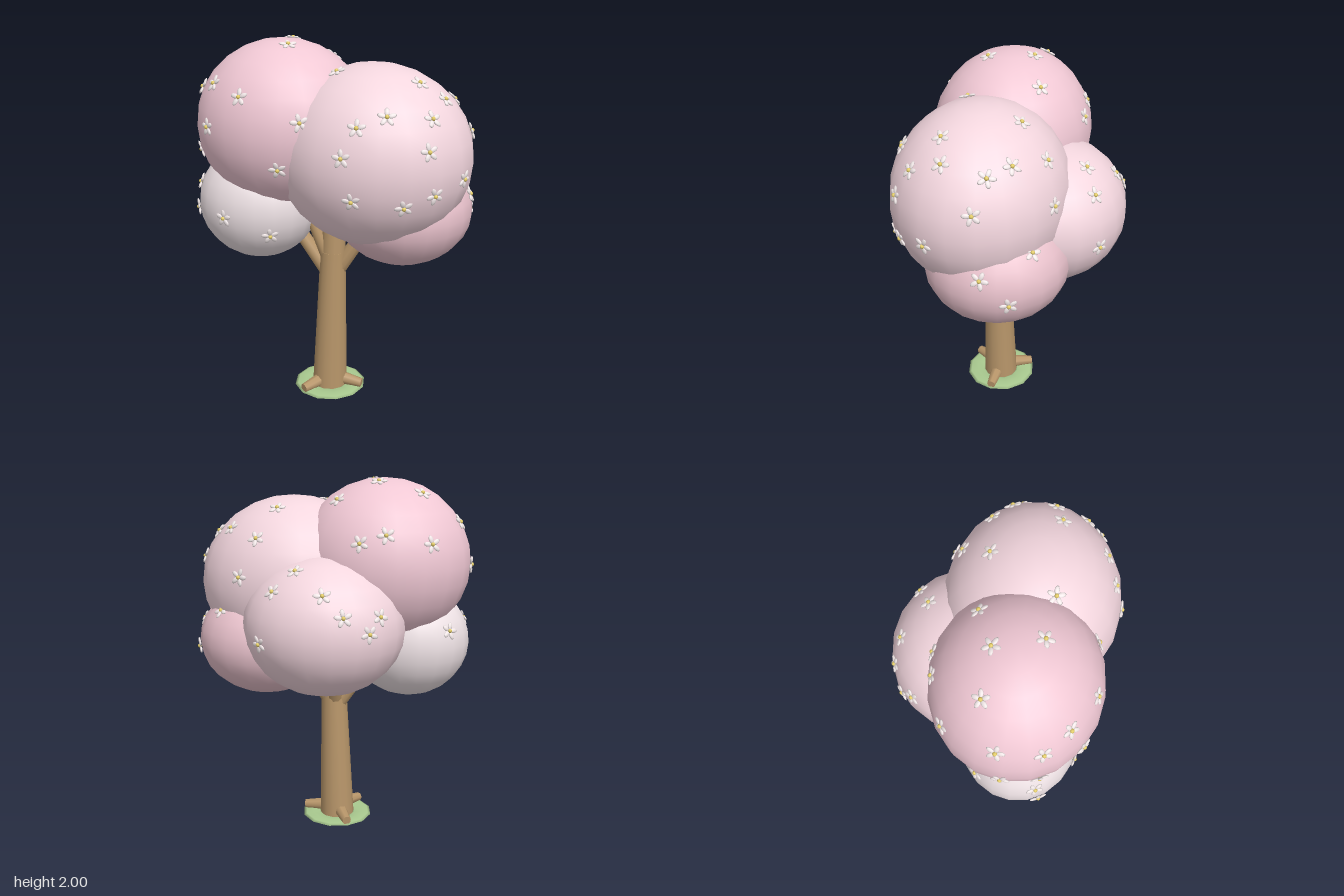
import * as THREE from 'three';

const mat = (color, extra = {}) => new THREE.MeshStandardMaterial({ color, ...extra });
const bark = mat(0xb8966a);
const grass = mat(0xa9c98f);
const petalMat = mat(0xf0e6e6);
const pollenMat = mat(0xe6cf6a);
const UP = new THREE.Vector3(0, 1, 0);
const OUT = new THREE.Vector3(0, 0, 1);

function mesh(name, geometry, material) {
  const m = new THREE.Mesh(geometry, material);
  m.name = name;
  return m;
}

// Tapered limb between two points
function limb(name, from, to, r0, r1, sides = 10) {
  const a = new THREE.Vector3(...from), b = new THREE.Vector3(...to);
  const dir = b.clone().sub(a);
  const m = mesh(name, new THREE.CylinderGeometry(r1, r0, dir.length(), sides), bark);
  m.position.copy(a).add(b).multiplyScalar(0.5);
  m.quaternion.setFromUnitVectors(UP, dir.normalize());
  return m;
}

const petalGeo = new THREE.SphereGeometry(1, 8, 6);
const pollenGeo = new THREE.SphereGeometry(0.011, 8, 6);

// Five-petalled blossom facing +z
function blossom() {
  const g = new THREE.Group();
  g.name = 'blossom';
  for (let i = 0; i < 5; i++) {
    const a = (i / 5) * Math.PI * 2 + Math.PI / 2;
    const p = mesh('petal', petalGeo, petalMat);
    p.scale.set(0.022, 0.0125, 0.007);
    p.position.set(Math.cos(a) * 0.027, Math.sin(a) * 0.027, 0.006);
    p.rotation.z = a;
    g.add(p);
  }
  const c = mesh('blossomCentre', pollenGeo, pollenMat);
  c.position.z = 0.01;
  g.add(c);
  return g;
}

// Foliage clumps: centre, radii, colour and blossoms grouped by the side
// they sit on (front/back: x,y  top: x,z  left/right: z,y)
const clumps = [
  {
    name: 'foliageUpperRight', c: [-0.27, 1.55, 0.11], r: [0.475, 0.45, 0.435], color: 0xf0c8d4,
    front: [[-0.65, 1.75], [-0.53, 1.79], [-0.34, 1.75], [-0.54, 1.58], [-0.68, 1.41], [-0.14, 1.4], [-0.03, 1.64]],
    top: [[-0.49, -0.02], [-0.26, -0.01], [-0.06, -0.1], [-0.19, 0.22], [-0.68, 0.07], [-0.35, -0.28], [-0.22, -0.3], [-0.57, -0.2]],
    right: [[0.1, 1.55]],
  },
  {
    name: 'foliageUpperLeft', c: [0.24, 1.42, 0.12], r: [0.525, 0.48, 0.465], color: 0xf3d6de,
    front: [[0.08, 1.86], [0.28, 1.65], [0.41, 1.7], [0.22, 1.51], [0.27, 1.3], [0.51, 1.27], [0.61, 1.54], [0.6, 1.68], [0.64, 1.32]],
    top: [[0.27, -0.1], [0.5, 0.22], [0.62, 0.18], [0.52, -0.13], [0.62, -0.04], [0.34, -0.25], [0.42, -0.31]],
    left: [[0, 1.56], [0.24, 1.37]],
  },
  {
    name: 'foliageLowerRight', c: [-0.41, 1.11, 0.15], r: [0.34, 0.32, 0.31], color: 0xeee2e5,
    front: [[-0.48, 1.09], [-0.24, 1.0], [-0.71, 1.08], [-0.7, 1.22]],
    right: [[-0.04, 1.21]],
  },
  {
    name: 'foliageLowerLeft', c: [0.37, 1.11, 0], r: [0.38, 0.31, 0.38], color: 0xe9c2cc,
    left: [[-0.24, 1.3], [-0.03, 1.21], [-0.17, 1.08]],
  },
  {
    name: 'foliageBack', c: [-0.01, 1.24, -0.2], r: [0.435, 0.375, 0.39], color: 0xf3d6de,
    top: [[-0.08, -0.51], [0.09, -0.39], [0.19, -0.46], [-0.31, -0.48]],
    back: [[-0.19, 1.36], [-0.35, 1.35], [0.25, 1.2]],
  },
];
// side: [first axis, second axis, solved axis, sign]
const sides = { front: [0, 1, 2, 1], back: [0, 1, 2, -1], top: [0, 2, 1, 1], left: [2, 1, 0, 1], right: [2, 1, 0, -1] };

function addClump(tree, s) {
  const g = new THREE.Group();
  g.name = s.name;
  const ball = mesh('leafBall', new THREE.SphereGeometry(1, 20, 14), mat(s.color));
  ball.scale.set(...s.r);
  ball.position.set(...s.c);
  g.add(ball);
  let n = 0;
  for (const [side, [i, j, k, sign]] of Object.entries(sides)) {
    for (const [a, b] of s[side] ?? []) {
      const u = [0, 0, 0];
      u[i] = (a - s.c[i]) / s.r[i];
      u[j] = (b - s.c[j]) / s.r[j];
      u[k] = sign * Math.sqrt(Math.max(0, 1 - u[i] ** 2 - u[j] ** 2));
      const dir = new THREE.Vector3(...u).normalize();
      const f = blossom();
      f.position.set(...s.c).add(dir.clone().multiply(ball.scale).multiplyScalar(0.993));
      f.quaternion.setFromUnitVectors(OUT, dir.divide(ball.scale).normalize());
      f.rotateZ(n++ * 1.3);
      g.add(f);
    }
  }
  tree.add(g);
}

export function createModel() {
  const tree = new THREE.Group();
  tree.name = 'blossomTree';

  // Trunk and branches
  tree.add(limb('trunk', [-0.01, 0.01, 0.115], [0.012, 0.85, 0.118], 0.1, 0.07, 14));
  tree.add(limb('upperTrunk', [0.012, 0.8, 0.118], [0.02, 1.2, 0.11], 0.07, 0.06, 14));
  tree.add(limb('branchRight', [-0.01, 0.7, 0.11], [-0.26, 1.05, 0.13], 0.045, 0.035));
  tree.add(limb('branchLeft', [0.02, 0.71, 0.11], [0.27, 1.1, 0.08], 0.045, 0.035));
  tree.add(limb('branchBack', [0, 0.72, 0.1], [-0.04, 1.1, -0.08], 0.045, 0.035));
  tree.add(limb('branchInner', [0, 0.78, 0.13], [-0.13, 1.12, 0.16], 0.04, 0.03));

  // Three roots spread evenly around the base
  for (let i = 0; i < 3; i++) {
    const a = (i / 3) * Math.PI * 2;
    const x = Math.cos(a), z = Math.sin(a);
    tree.add(limb('root', [-0.01 + x * 0.04, 0.055, 0.115 + z * 0.04],
      [-0.01 + x * 0.195, 0.038, 0.115 + z * 0.195], 0.04, 0.026, 8));
  }

  // Flat ring of grass
  const ring = mesh('grassRing', new THREE.TorusGeometry(0.148, 0.057, 8, 12), grass);
  ring.rotation.x = -Math.PI / 2;
  ring.scale.z = 0.2;
  ring.position.set(-0.01, 0.0115, 0.115);
  tree.add(ring);

  clumps.forEach((s) => addClump(tree, s));
  return tree;
}
